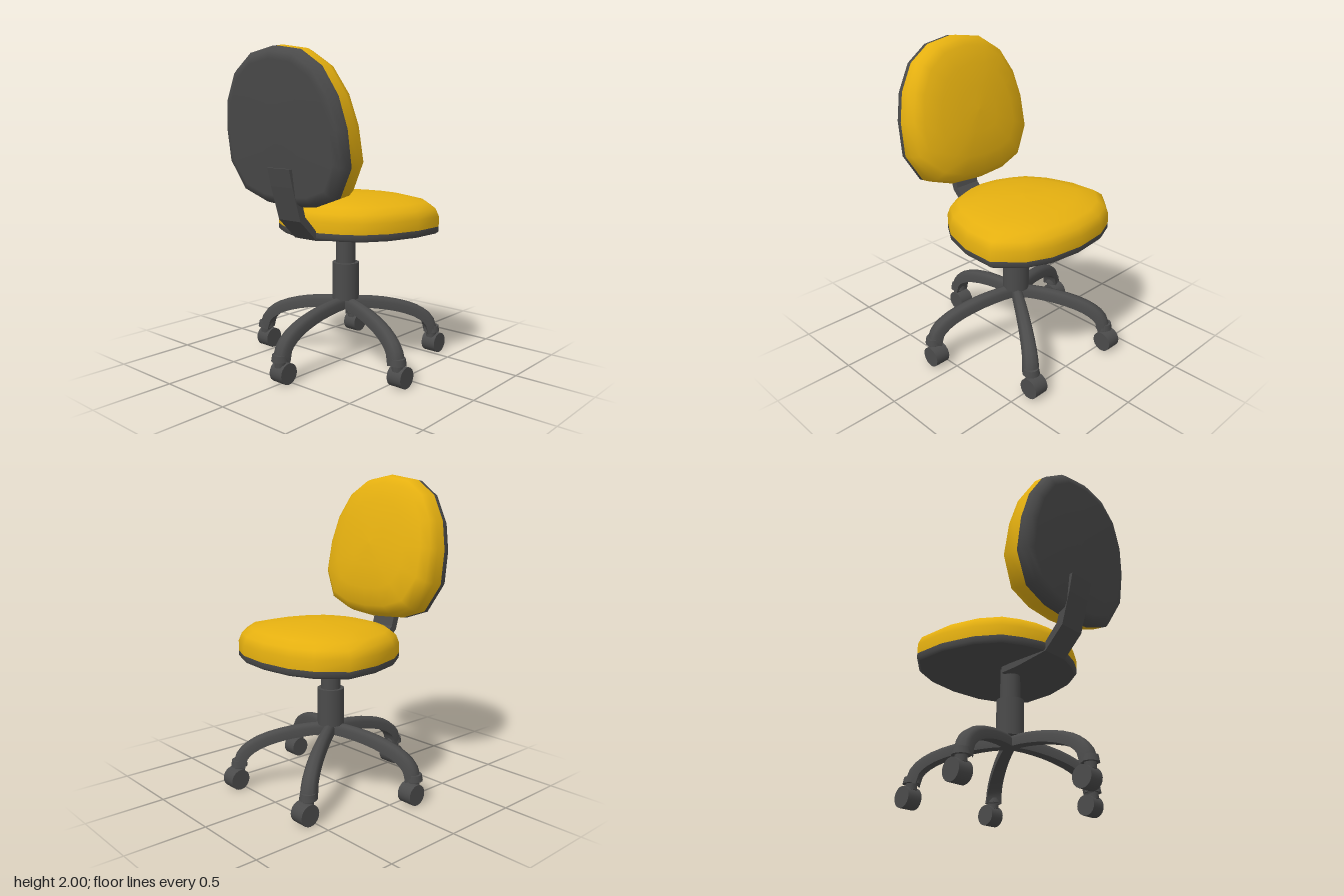
import * as THREE from 'three';

const yellow = new THREE.MeshStandardMaterial({ color: 0xe5b010 });
yellow.name = 'yellow fabric';
const grey = new THREE.MeshStandardMaterial({ color: 0x4b4b4b });
grey.name = 'dark grey plastic';

const POST_X = 0.04;

function add(parent, name, geometry, material, x = 0, y = 0, z = 0) {
  const mesh = new THREE.Mesh(geometry, material);
  mesh.name = name;
  mesh.position.set(x, y, z);
  parent.add(mesh);
  return mesh;
}

// Skin over closed cross-sections that all have the same number of points
function loft(rings) {
  const n = rings[0].length;
  const index = [];
  for (let i = 0; i < rings.length - 1; i++) {
    for (let j = 0; j < n; j++) {
      const a = i * n + j, b = i * n + (j + 1) % n;
      index.push(a, a + n, b, b, a + n, b + n);
    }
  }
  const geometry = new THREE.BufferGeometry().setFromPoints(rings.flat());
  geometry.setIndex(index);
  geometry.computeVertexNormals();
  return geometry;
}

// Scaled copies of an outline [x, z], one per profile step [scale, height];
// swell makes the cushion thicker towards +x
function cushion(outline, profile, swell = 0) {
  return loft(profile.map(([s, h]) => outline.map(([x, z]) =>
    new THREE.Vector3(x * s, h * (1 + swell * x * s), z * s))));
}

// Complete a half outline (from +x to -x) by mirroring it in z
function mirrorOutline(half) {
  return [...half, ...half.slice(1, -1).reverse().map(([x, z]) => [x, -z])];
}

const padProfile = [[1, 0], [1, 0.065], [0.96, 0.115], [0.86, 0.152], [0.62, 0.182], [0.3, 0.196], [0, 0.2]];

// One radial leg of the base, arched, with a flat underside, running along +x
function legGeometry() {
  const path = new THREE.CatmullRomCurve3([
    [0, 0.39], [0.14, 0.384], [0.32, 0.355], [0.48, 0.3], [0.57, 0.23], [0.597, 0.15],
  ].map(([x, y]) => new THREE.Vector3(x, y, 0)));
  // Doubled bottom corners keep the lower edges sharp
  const section = [[1, -1], [1, 0.2], [0.65, 0.8], [0, 1], [-0.65, 0.8], [-1, 0.2], [-1, -1], [-1, -1], [1, -1]];
  const rings = [];
  for (let i = 0; i <= 12; i++) {
    const t = i / 12;
    const p = path.getPoint(t), d = path.getTangent(t);
    const width = 0.032 + 0.018 * t;
    rings.push(section.map(([w, n]) =>
      new THREE.Vector3(p.x - d.y * n * 0.039, p.y + d.x * n * 0.039, w * width)));
  }
  return loft(rings);
}

export function createModel() {
  const chair = new THREE.Group();
  chair.name = 'swivelChair';

  // Seat
  const seat = new THREE.Group();
  seat.name = 'seat';
  seat.position.set(0.115, 0.905, 0);
  chair.add(seat);
  const seatOutline = mirrorOutline([
    [0.465, 0], [0.44, 0.22], [0.375, 0.37], [0.23, 0.512], [0.015, 0.508],
    [-0.195, 0.445], [-0.335, 0.35], [-0.4, 0.24], [-0.445, 0.12], [-0.46, 0],
  ]);
  add(seat, 'seatCushion', cushion(seatOutline, padProfile), yellow);
  add(seat, 'seatShell', cushion(seatOutline,
    [[0, -0.045], [0.97, -0.045], [0.97, -0.045], [1, -0.03], [1, 0]]), grey);

  // Backrest, leaning back
  const back = new THREE.Group();
  back.name = 'backrest';
  back.position.set(-0.487, 1.535, 0);
  back.rotation.z = THREE.MathUtils.degToRad(-81.7);
  chair.add(back);
  const backOutline = mirrorOutline([
    [0.47, 0], [0.455, 0.2], [0.395, 0.37], [0.215, 0.475], [0, 0.472],
    [-0.18, 0.43], [-0.34, 0.335], [-0.435, 0.19], [-0.465, 0],
  ]);
  add(back, 'backCushion', cushion(backOutline, padProfile, 0.4), yellow);
  add(back, 'backShell', cushion(backOutline,
    [[0, -0.08], [0.86, -0.078], [0.95, -0.065], [1, -0.03], [1, 0]]), grey);

  // Bent strap joining seat and backrest
  const strap = new THREE.Shape([
    [0.03, 0.815], [0.03, 0.855], [-0.1, 0.865], [-0.31, 0.89], [-0.425, 1.01], [-0.48, 1.2],
    [-0.52, 1.3], [-0.555, 1.3], [-0.528, 1.19], [-0.465, 0.985], [-0.33, 0.855], [-0.1, 0.822],
  ].map(([x, y]) => new THREE.Vector2(x, y)));
  add(chair, 'backStrap', new THREE.ExtrudeGeometry(strap, { depth: 0.18, bevelEnabled: false }), grey, 0, 0, -0.09);

  // Gas lift column
  add(chair, 'upperColumn', new THREE.CylinderGeometry(0.063, 0.063, 0.24, 24), grey, POST_X, 0.76, 0);
  add(chair, 'lowerColumn', new THREE.CylinderGeometry(0.086, 0.086, 0.24, 24), grey, POST_X, 0.535, 0);
  add(chair, 'hub', new THREE.CylinderGeometry(0.045, 0.04, 0.08, 16), grey, POST_X, 0.392, 0);

  // Five legs with casters
  const leg = legGeometry();
  const collar = new THREE.CylinderGeometry(0.047, 0.054, 0.04, 16);
  const stem = new THREE.CylinderGeometry(0.035, 0.035, 0.05, 12);
  const wheel = new THREE.CylinderGeometry(0.066, 0.066, 0.1, 20).rotateX(Math.PI / 2);
  for (let i = 0; i < 5; i++) {
    const angle = Math.PI / 5 + i * Math.PI * 2 / 5;
    const x = POST_X + 0.597 * Math.cos(angle), z = 0.597 * Math.sin(angle);
    add(chair, 'leg', leg, grey, POST_X, 0, 0).rotation.y = -angle;
    add(chair, 'legCollar', collar, grey, x, 0.168, z);
    add(chair, 'casterStem', stem, grey, x, 0.135, z);
    add(chair, 'casterWheel', wheel, grey, x + 0.025, 0.068, z);
  }
  return chair;
}
